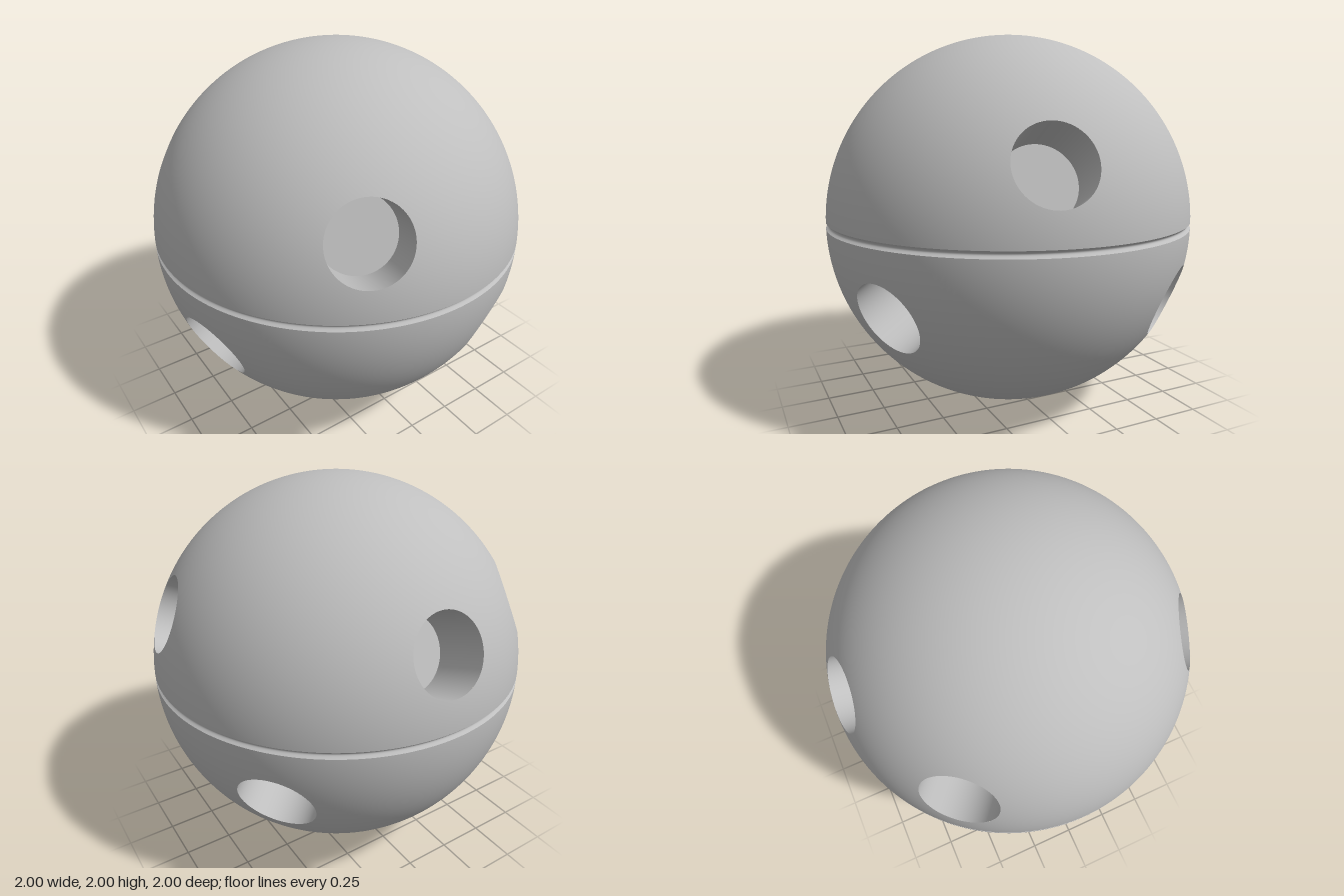
import * as THREE from 'three';
import { ParametricGeometry } from 'three/addons/geometries/ParametricGeometry.js';

const SECTORS = 7, STEP = (Math.PI * 2) / SECTORS;
const N = 24;                       // segments along one patch side
const BAND = 0.8;                   // latitude where the plain caps begin
const LIP = { 1: 0.02, [-1]: -0.015 }; // groove edges above and below the equator
const HOLE_R = 0.2, HOLE_EL = 0.386, FLOOR = 0.675;
const RIM = Math.sqrt(1 - HOLE_R * HOLE_R);

// Point on the unit sphere; azimuth 0 faces +z
const onSphere = (az, el, out = new THREE.Vector3()) =>
  out.set(Math.sin(az) * Math.cos(el), Math.sin(el), Math.cos(az) * Math.cos(el));

// Surface on the unit sphere with exact smooth normals
function spherePatch(fn, slices, stacks) {
  const geo = new ParametricGeometry(fn, slices, stacks);
  geo.setAttribute('normal', geo.getAttribute('position').clone());
  return geo;
}

function plainPatch(az0, az1, el0, el1, slices, stacks) {
  return spherePatch((u, v, p) =>
    onSphere(az0 + (az1 - az0) * u, el0 + (el1 - el0) * v, p), slices, stacks);
}

// Patch lofted from its four-sided outline to the round rim of a hole
function holedPatch(az, el0, el1, dir) {
  const t1 = new THREE.Vector3(0, 1, 0).cross(dir).normalize();
  const t2 = dir.clone().cross(t1);
  const a0 = az - STEP / 2, a1 = az + STEP / 2;
  const corners = [[a0, el0], [a1, el0], [a1, el1], [a0, el1]];
  const rim = new THREE.Vector3();
  return spherePatch((u, v, p) => {
    const s = (u * 4) % 4, k = Math.min(3, Math.floor(s + 1e-9)), f = s - k;
    const a = corners[k], b = corners[(k + 1) % 4];
    onSphere(a[0] + (b[0] - a[0]) * f, a[1] + (b[1] - a[1]) * f, p);
    const ang = Math.atan2(p.dot(t2), p.dot(t1));
    rim.copy(dir).multiplyScalar(RIM)
      .addScaledVector(t1, HOLE_R * Math.cos(ang))
      .addScaledVector(t2, HOLE_R * Math.sin(ang));
    p.lerp(rim, v).normalize();
  }, N * 4, 10);
}

export function createModel() {
  const model = new THREE.Group();
  model.name = 'drilledBall';
  const grey = new THREE.MeshStandardMaterial({ color: 0xbfbfbf });
  grey.name = 'plain grey';

  const ball = new THREE.Group();
  ball.name = 'ball';
  ball.position.y = 1;
  model.add(ball);
  const add = (geo, name, parent = ball) => {
    const mesh = new THREE.Mesh(geo, grey);
    mesh.name = name;
    parent.add(mesh);
    return mesh;
  };

  // Top and bottom caps
  add(plainPatch(0, Math.PI * 2, BAND, Math.PI / 2, SECTORS * N, 24), 'topCap');
  add(plainPatch(0, Math.PI * 2, -Math.PI / 2, -BAND, SECTORS * N, 24), 'bottomCap');

  // Seven sectors, with holes alternating above and below the seam
  const wallGeo = new THREE.LatheGeometry(
    [new THREE.Vector2(HOLE_R, RIM), new THREE.Vector2(HOLE_R, FLOOR)], 96);
  const floorGeo = new THREE.CircleGeometry(HOLE_R, 96)
    .rotateX(-Math.PI / 2).translate(0, FLOOR, 0);
  for (let i = 0; i < SECTORS; i++) {
    const az = Math.PI + (i + 1) * STEP;
    const holeSide = i % 2 === 0 ? 1 : -1;
    for (const side of [1, -1]) {
      const el0 = side > 0 ? LIP[1] : -BAND;
      const el1 = side > 0 ? BAND : LIP[-1];
      if (side !== holeSide) {
        add(plainPatch(az - STEP / 2, az + STEP / 2, el0, el1, N, N), 'shellPanel');
        continue;
      }
      const dir = onSphere(az, side * HOLE_EL);
      add(holedPatch(az, el0, el1, dir), 'drilledShellPanel');
      const hole = new THREE.Group();
      hole.name = 'hole';
      hole.quaternion.setFromUnitVectors(new THREE.Vector3(0, 1, 0), dir);
      add(wallGeo, 'holeWall', hole);
      add(floorGeo, 'holeFloor', hole);
      ball.add(hole);
    }
  }

  // Rounded groove around the equator
  const groove = [];
  for (let i = 0; i <= 10; i++) {
    const t = i / 10, el = LIP[-1] + (LIP[1] - LIP[-1]) * t;
    groove.push(new THREE.Vector2(Math.cos(el) - 0.015 * Math.sin(Math.PI * t), Math.sin(el)));
  }
  add(new THREE.LatheGeometry(groove, SECTORS * N), 'seamGroove');

  return model;
}
